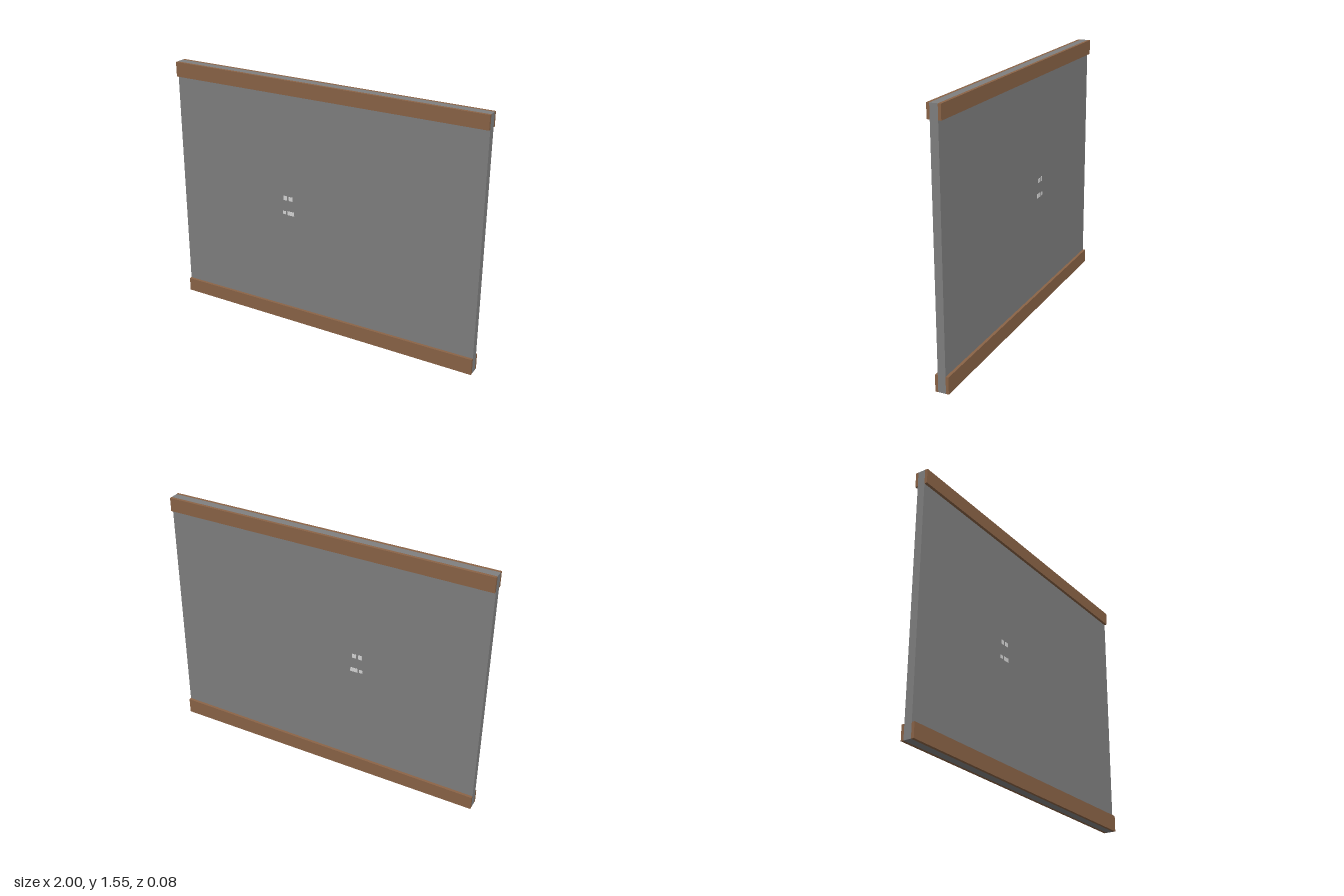
import * as THREE from 'three';

const WALL_Z = 0.023, TRIM_Z = 0.04, HEIGHT = 1.555;

export function createModel() {
  const model = new THREE.Group();
  model.name = 'wallPanel';

  const grey = new THREE.MeshStandardMaterial({ color: 0x808080 });
  grey.name = 'wall grey';
  const brown = new THREE.MeshStandardMaterial({ color: 0x8b6447 });
  brown.name = 'wood brown';
  const pale = new THREE.MeshStandardMaterial({ color: 0xd8d8d8 });
  pale.name = 'pale grey';

  const add = (name, geometry, material, x, y, z) => {
    const mesh = new THREE.Mesh(geometry, material);
    mesh.name = name;
    mesh.position.set(x, y, z);
    model.add(mesh);
  };

  // Flat wall slab
  add('wall', new THREE.BoxGeometry(2, HEIGHT, WALL_Z * 2), grey, 0, HEIGHT / 2, 0);

  // Trim boards, slightly tapered along their length
  const trim = (corners) => new THREE.ExtrudeGeometry(
    new THREE.Shape(corners.map(([x, y]) => new THREE.Vector2(x, y))),
    { depth: TRIM_Z - WALL_Z, bevelEnabled: false });
  const baseTrim = trim([[-1, 0], [1, 0], [1, 0.1], [-1, 0.086]]);
  const topTrim = trim([[-1, 1.465], [1, 1.472], [1, HEIGHT], [-1, HEIGHT]]);

  // Small pale marks: centre x, centre y, width, height
  const marks = [
    [-0.246, 0.822, 0.024, 0.028],
    [-0.209, 0.822, 0.026, 0.026],
    [-0.254, 0.727, 0.02, 0.02],
    [-0.209, 0.727, 0.046, 0.026],
  ];

  for (const [label, side] of [['front', 1], ['back', -1]]) {
    const z = side > 0 ? WALL_Z : -TRIM_Z;
    add(label + 'BaseTrim', baseTrim, brown, 0, 0, z);
    add(label + 'TopTrim', topTrim, brown, 0, 0, z);
    for (const [x, y, w, h] of marks) {
      add(label + 'Mark', new THREE.BoxGeometry(w, h, 0.002), pale, x, y, side * (WALL_Z + 0.001));
    }
  }
  return model;
}
